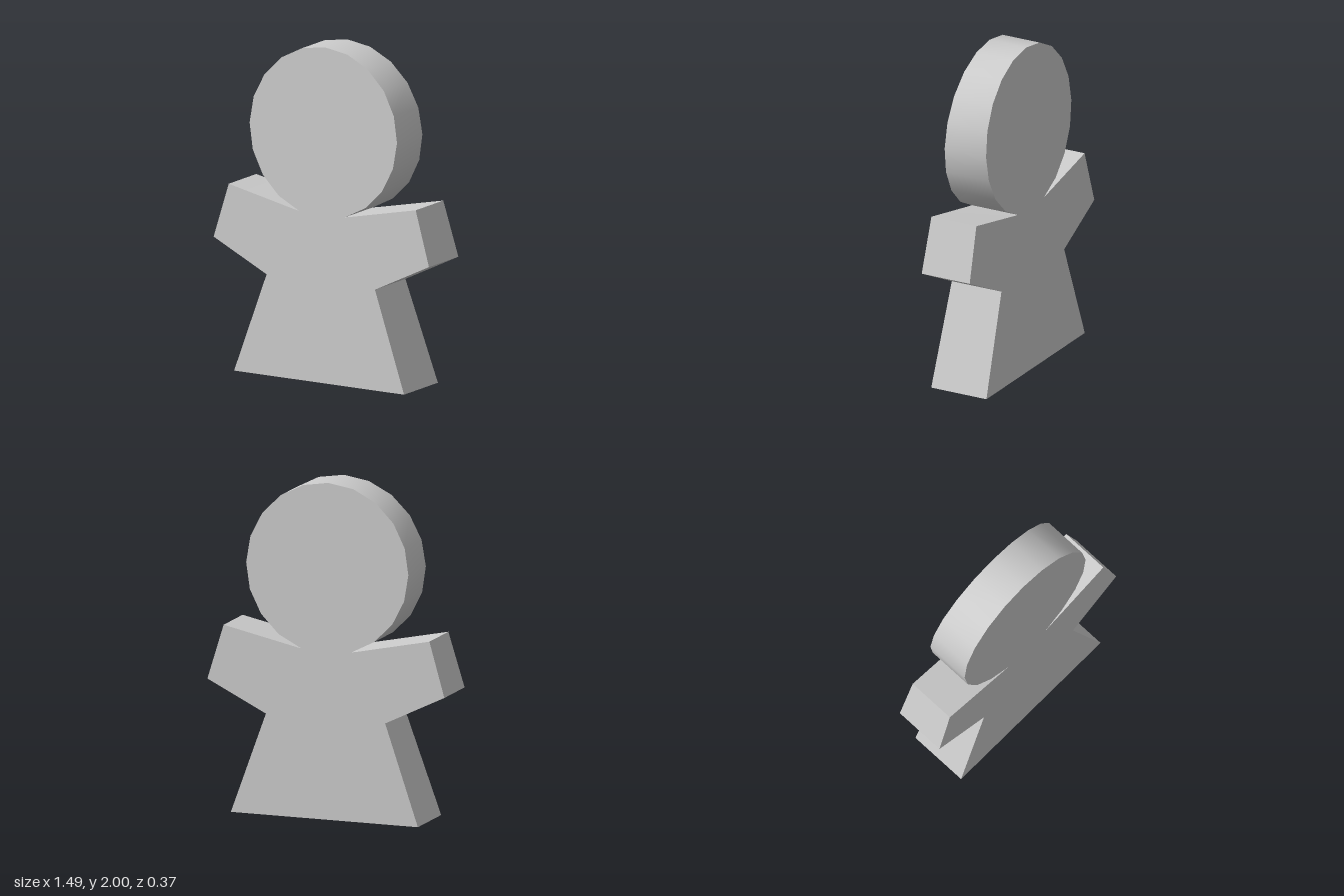
import * as THREE from 'three';
import { toCreasedNormals } from 'three/addons/utils/BufferGeometryUtils.js';

const HEAD = { y: 1.49, r: 0.51, sides: 20 };
const BASE_HALF = 0.185, TOP_HALF = 0.123; // half thickness at the foot and crown

export function createModel() {
  // Left half of the outline: skirt, waist, arm and neck, from the foot up
  const half = [[0.588, 0], [0.375, 0.6], [0.745, 0.78], [0.647, 1.107], [0.187, 1.01]]
    .map(([x, y]) => new THREE.Vector2(x, y));

  // Faceted round head, from the neck up to just before the crown
  for (let i = -4; i < HEAD.sides / 4; i++) {
    const a = (i / HEAD.sides) * Math.PI * 2;
    half.push(new THREE.Vector2(HEAD.r * Math.cos(a), HEAD.y + HEAD.r * Math.sin(a)));
  }
  const mirrored = half.map((p) => new THREE.Vector2(-p.x, p.y)).reverse();
  const outline = new THREE.Shape([...half, new THREE.Vector2(0, 2), ...mirrored]);

  // Slab that thins evenly towards the top
  const slab = new THREE.ExtrudeGeometry(outline, { depth: 2, bevelEnabled: false });
  slab.translate(0, 0, -1);
  const pos = slab.attributes.position;
  for (let i = 0; i < pos.count; i++) {
    pos.setZ(i, pos.getZ(i) * THREE.MathUtils.lerp(BASE_HALF, TOP_HALF, pos.getY(i) / 2));
  }

  // Smooth around the head rim, sharp at every other edge
  const figure = new THREE.Mesh(
    toCreasedNormals(slab, 0.5),
    new THREE.MeshStandardMaterial({ color: 0xcccccc })
  );
  figure.name = 'figureBody';

  const group = new THREE.Group();
  group.name = 'pawnFigure';
  group.add(figure);
  return group;
}
